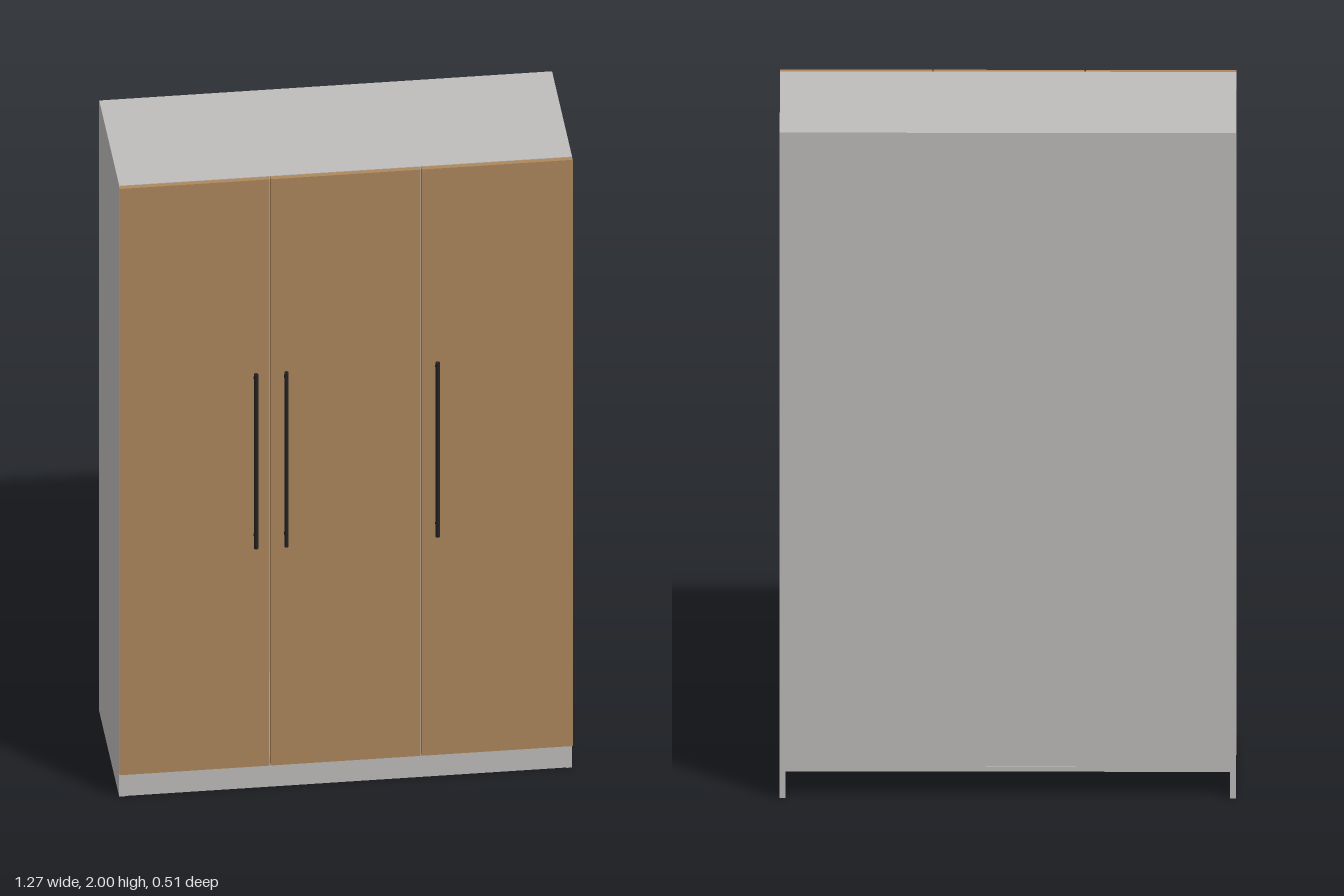
import * as THREE from 'three';

const material = (name, color) => {
  const m = new THREE.MeshStandardMaterial({ color });
  m.name = name;
  return m;
};

export function createModel() {
  const group = new THREE.Group();
  const panelGrey = material('panel grey', 0xbebdbb);
  const doorWood = material('door wood', 0xae875c);
  const handleBlack = material('handle black', 0x222225);

  // Box given by its limits on each axis
  const panel = (name, mat, [x0, x1], [y0, y1], [z0, z1]) => {
    const mesh = new THREE.Mesh(new THREE.BoxGeometry(x1 - x0, y1 - y0, z1 - z0), mat);
    mesh.position.set((x0 + x1) / 2, (y0 + y1) / 2, (z0 + z1) / 2);
    mesh.name = name;
    group.add(mesh);
  };

  const W = 0.636, T = 0.016, back = -0.254, front = 0.203, base = 0.08;
  const inner = [-W + T, W - T], depth = [back, front];

  // Carcass
  panel('rightSide', panelGrey, [-W, -W + T], [0, 2], depth);
  panel('leftSide', panelGrey, [W - T, W], [0, 2], depth);
  panel('topPanel', panelGrey, inner, [2 - T, 2], depth);
  panel('bottomPanel', panelGrey, inner, [base, base + T], depth);
  panel('backPanel', panelGrey, inner, [base + T, 2 - T], [back + 0.001, back + 0.009]);
  panel('plinth', panelGrey, inner, [0, base], [front - 0.018, front - 0.002]);
  panel('divider', panelGrey, [0.202, 0.218], [base + T, 2 - T], [back + 0.009, front - 0.002]);

  // Doors, separated by narrow gaps
  const doors = [[-W, -0.216], [-0.212, 0.208], [0.212, W]];
  for (const span of doors) panel('door', doorWood, span, [base, 1.999], [front + 0.001, 0.219]);

  // Bar handles on two posts
  const rod = (name, radius, length) => {
    const mesh = new THREE.Mesh(new THREE.CylinderGeometry(radius, radius, length, 20), handleBlack);
    mesh.name = name;
    return mesh;
  };
  for (const x of [-0.257, -0.172, 0.253]) {
    const handle = new THREE.Group();
    handle.name = 'handle';
    handle.position.set(x, 1.097, 0);
    const bar = rod('handleBar', 0.006, 0.57);
    bar.position.z = 0.248;
    handle.add(bar);
    for (const side of [-1, 1]) {
      const post = rod('handlePost', 0.004, 0.029);
      post.rotation.x = Math.PI / 2;
      post.position.set(0, side * 0.257, 0.2335);
      handle.add(post);
    }
    group.add(handle);
  }
  return group;
}
